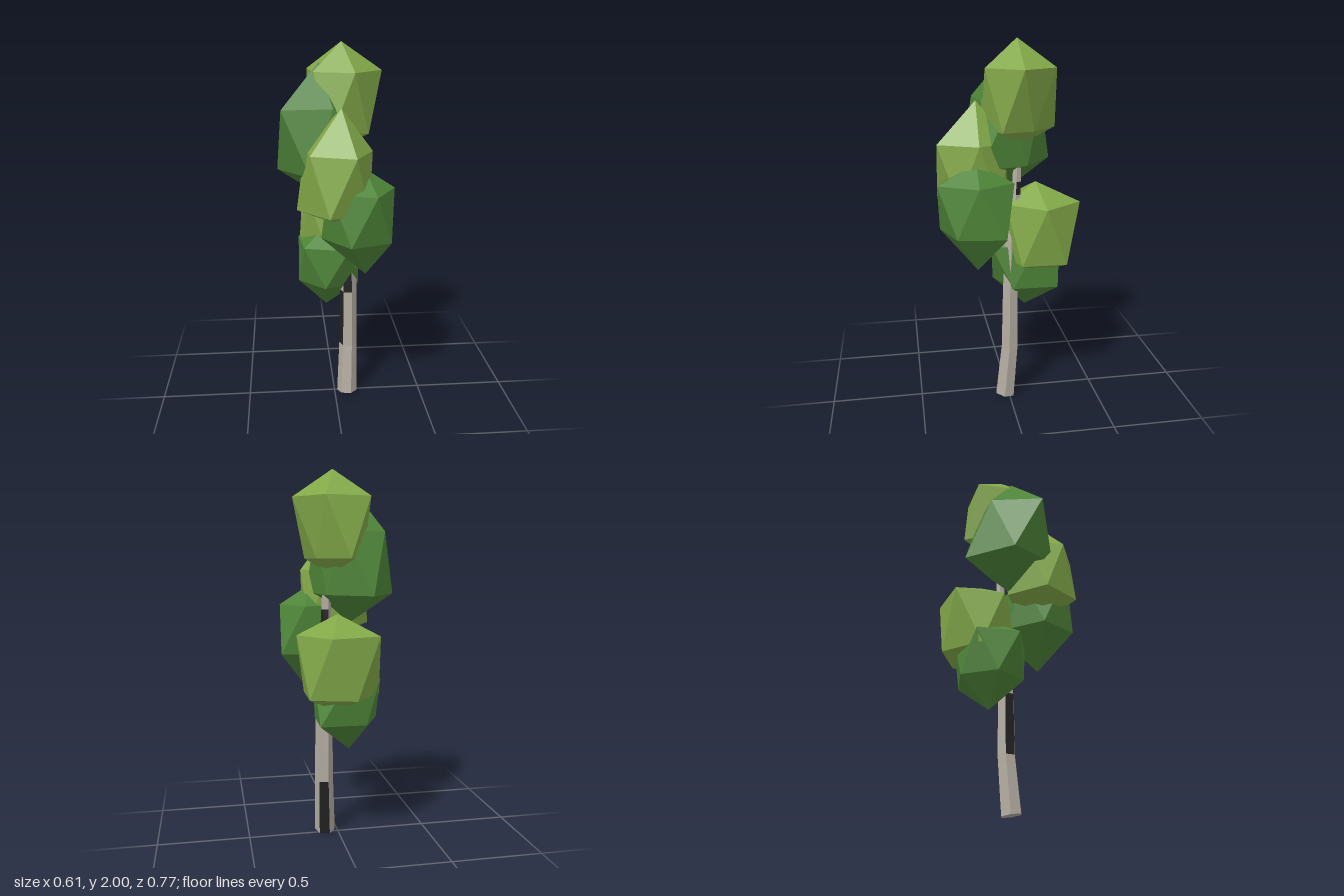
import * as THREE from 'three';
import { ConvexGeometry } from 'three/addons/geometries/ConvexGeometry.js';

const mat = (name, color) => {
  const m = new THREE.MeshStandardMaterial({ color, flatShading: true });
  m.name = name;
  return m;
};

const V = (x, y, z) => new THREE.Vector3(x, y, z);
const rad = THREE.MathUtils.degToRad;

// Five points around a centre, one per radius, first one at the given angle (x towards z)
function ring(x, y, z, radii, angle) {
  return radii.map((r, i) => {
    const a = rad(angle + i * 72);
    return V(x + r * Math.cos(a), y, z + r * Math.sin(a));
  });
}

// Faceted leaf clump: an uneven, stretched twenty-sided solid
// ys = heights of top point, upper ring, lower ring and bottom point
function clump(name, material, { x, z, upper, lower, angle, ys, tip = [x, z], base = [x, z] }) {
  const points = [
    V(tip[0], ys[0], tip[1]),
    ...ring(x, ys[1], z, upper, angle),
    ...ring(x, ys[2], z, lower, angle + 36),
    V(base[0], ys[3], base[1]),
  ];
  const mesh = new THREE.Mesh(new ConvexGeometry(points), material);
  mesh.name = name;
  return mesh;
}

// Bent six-sided trunk; dark patches fill chosen faces of chosen segments
function trunk(bark, dark) {
  const stations = [ // y, x, z, radius
    [0.008, 0.071, 0.022, 0.057],
    [0.31, 0.079, -0.003, 0.051],
    [0.64, 0.079, -0.006, 0.047],
    [0.95, 0.075, -0.012, 0.04],
    [1.2, 0.072, -0.037, 0.028],
    [1.27, 0.071, -0.04, 0.026],
    [1.37, 0.07, -0.043, 0.023],
  ];
  const patches = ['0-2', '1-0', '2-5', '2-2', '4-2', '4-3'];
  const corner = (s, k) => {
    const [y, x, z, r] = stations[s];
    const a = rad(130 + k * 60);
    const tilt = s === 0 ? 0.15 * r * Math.sin(a) : 0; // base is cut slightly askew
    return V(x + r * Math.cos(a), y + tilt, z + r * Math.sin(a));
  };
  const lists = { bark: [], dark: [] };
  for (let s = 0; s < stations.length - 1; s++) {
    for (let k = 0; k < 6; k++) {
      const a = corner(s, k), b = corner(s, k + 1);
      const c = corner(s + 1, k + 1), d = corner(s + 1, k);
      lists[patches.includes(`${s}-${k}`) ? 'dark' : 'bark'].push(a, c, b, a, d, c);
    }
  }
  // End caps
  const last = stations.length - 1;
  for (let k = 1; k < 5; k++) {
    lists.bark.push(corner(0, 0), corner(0, k), corner(0, k + 1));
    lists.bark.push(corner(last, 0), corner(last, k + 1), corner(last, k));
  }
  const group = new THREE.Group();
  group.name = 'trunk';
  for (const [key, material, name] of [['bark', bark, 'trunkBark'], ['dark', dark, 'barkPatches']]) {
    const g = new THREE.BufferGeometry().setFromPoints(lists[key]);
    g.computeVertexNormals();
    const mesh = new THREE.Mesh(g, material);
    mesh.name = name;
    group.add(mesh);
  }
  return group;
}

export function createModel() {
  const light = mat('lightLeaf', 0x82a848);
  const deep = mat('deepLeaf', 0x4e8438);
  const bark = mat('paleBark', 0xb3aca1);
  const dark = mat('darkBark', 0x222222);

  const model = new THREE.Group();
  model.name = 'tree';
  model.add(
    trunk(bark, dark),
    clump('topClump', light, {
      x: 0.04, z: -0.055, angle: 2,
      upper: [0.21, 0.19, 0.185, 0.223, 0.195], lower: [0.17, 0.2, 0.17, 0.215, 0.115],
      ys: [2.0, 1.855, 1.54, 1.45], tip: [0.037, -0.045],
    }),
    clump('upperLeftClump', deep, {
      x: -0.06, z: 0, angle: 145,
      upper: [0.27, 0.21, 0.19, 0.18, 0.14], lower: [0.245, 0.27, 0.17, 0.265, 0.24],
      ys: [1.9, 1.68, 1.35, 1.19], tip: [-0.085, 0.005],
    }),
    clump('upperFrontClump', light, {
      x: 0.005, z: 0.175, angle: 70,
      upper: [0.215, 0.19, 0.2, 0.2, 0.175], lower: [0.206, 0.215, 0.2, 0.18, 0.18],
      ys: [1.69, 1.475, 1.175, 1.09], tip: [0.02, 0.168],
    }),
    clump('frontRightClump', deep, {
      x: 0.115, z: 0.185, angle: 0,
      upper: [0.18, 0.212, 0.195, 0.19, 0.205], lower: [0.19, 0.195, 0.2, 0.2, 0.233],
      ys: [1.385, 1.285, 1.02, 0.81], tip: [0.14, 0.18], base: [0.15, 0.18],
    }),
    clump('backClump', light, {
      x: 0.033, z: -0.167, angle: 215,
      upper: [0.24, 0.224, 0.218, 0.2, 0.21], lower: [0.205, 0.21, 0.2, 0.2, 0.225],
      ys: [1.255, 1.15, 0.83, 0.74], tip: [0.03, -0.15],
    }),
    clump('lowClump', deep, {
      x: -0.025, z: -0.1, angle: 136,
      upper: [0.2, 0.19, 0.2, 0.18, 0.22], lower: [0.175, 0.18, 0.23, 0.18, 0.175],
      ys: [1.02, 0.91, 0.68, 0.515], base: [-0.04, -0.11],
    }),
  );
  return model;
}
